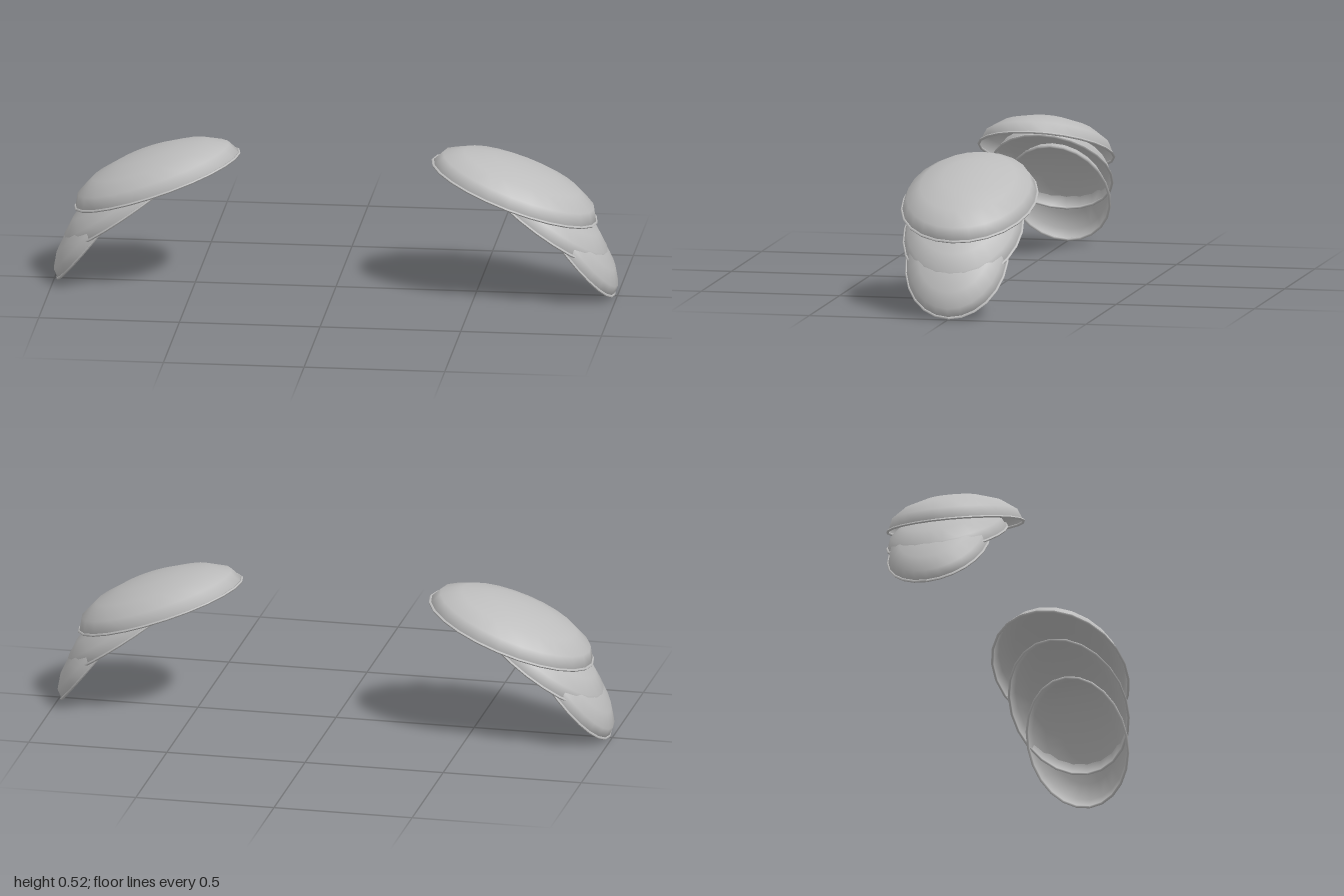
import * as THREE from 'three';

// Each plate: centre of its rim (x, y), half width in z, outward tilt in degrees
const PLATES = [
  { name: 'upperPlate', x: 0.635, y: 0.378, r: 0.236, tilt: 20 },
  { name: 'middlePlate', x: 0.737, y: 0.287, r: 0.21, tilt: 36 },
  { name: 'lowerPlate', x: 0.842, y: 0.196, r: 0.181, tilt: 52 },
];
const LENGTH = 1.31; // plate length relative to its width
const HEIGHT = 0.475; // dome height relative to its half width

// Thin closed band that follows the elliptical edge of a plate
function rimGeometry(a, b, tube) {
  const geo = new THREE.TorusGeometry(1, 0.1, 6, 24);
  geo.rotateX(Math.PI / 2);
  const p = geo.attributes.position;
  for (let i = 0; i < p.count; i++) {
    const x = p.getX(i), z = p.getZ(i);
    const d = Math.hypot(x, z), out = (d - 1) * 10 * tube;
    p.setXYZ(i, (x / d) * (a + out), p.getY(i) * 10 * tube, (z / d) * (b + out));
  }
  geo.computeVertexNormals();
  return geo;
}

function createShoulder(name, material) {
  const shoulder = new THREE.Group();
  shoulder.name = name;
  for (const { name: plateName, x, y, r, tilt } of PLATES) {
    const plate = new THREE.Group();
    plate.name = plateName;

    // Open half-ellipsoid shell
    const domeGeo = new THREE.SphereGeometry(1, 24, 4, 0, Math.PI * 2, 0, Math.PI / 2);
    domeGeo.scale(r * LENGTH, r * HEIGHT, r);
    const dome = new THREE.Mesh(domeGeo, material);
    dome.name = 'dome';

    const rim = new THREE.Mesh(rimGeometry(r * LENGTH, r, 0.005), material);
    rim.name = 'rim';

    plate.add(dome, rim);
    plate.position.set(x, y, 0);
    plate.rotation.z = -THREE.MathUtils.degToRad(tilt);
    shoulder.add(plate);
  }
  return shoulder;
}

export function createModel() {
  const steel = new THREE.MeshStandardMaterial({ color: 0xbcbcbc, side: THREE.DoubleSide });
  steel.name = 'steel';

  const model = new THREE.Group();
  model.name = 'shoulderArmor';
  const left = createShoulder('leftShoulder', steel);
  const right = createShoulder('rightShoulder', steel);
  right.rotation.y = Math.PI; // each shoulder is symmetric front to back
  model.add(left, right);
  return model;
}
